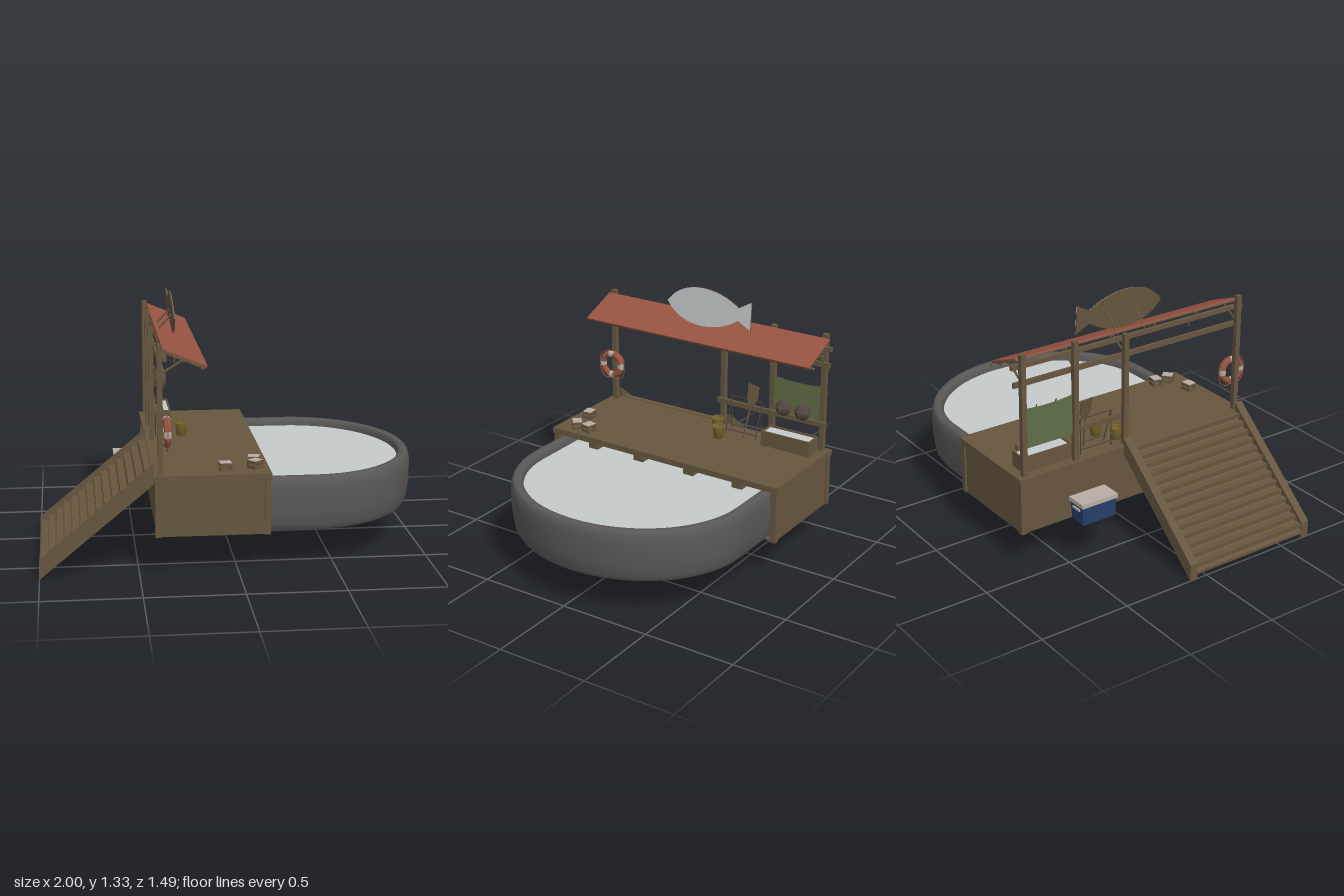
import * as THREE from 'three';

const mat = (name, color, double) => {
  const m = new THREE.MeshStandardMaterial({ color });
  m.name = name;
  if (double) m.side = THREE.DoubleSide;
  return m;
};
const V = (x, y, z) => new THREE.Vector3(x, y, z);

export function createModel() {
  const root = new THREE.Group();
  const wood = mat('brown wood', 0x66563f), red = mat('faded red', 0x985442);
  const rubber = mat('grey rubber', 0x5b5858), pale = mat('pale grey', 0xc6cacb, true);
  const blue = mat('cooler blue', 0x27406c), paper = mat('off white', 0xb9ada3);
  const green = mat('cloth green', 0x5f6f45, true), gold = mat('bucket yellow', 0x7a6a2c, true);
  const dark = mat('dark float', 0x4d4440);

  const add = (name, geo, m, parent = root, x = 0, y = 0, z = 0) => {
    const mesh = new THREE.Mesh(geo, m);
    mesh.name = name;
    mesh.position.set(x, y, z);
    parent.add(mesh);
    return mesh;
  };
  // box given by its limits on each axis
  const box = (name, m, x0, x1, y0, y1, z0, z1, parent = root) =>
    add(name, new THREE.BoxGeometry(x1 - x0, y1 - y0, z1 - z0), m, parent, (x0 + x1) / 2, (y0 + y1) / 2, (z0 + z1) / 2);
  const rod = (name, m, a, b, r, parent = root, sides = 6) => {
    const mesh = add(name, new THREE.CylinderGeometry(r, r, a.distanceTo(b), sides), m, parent);
    mesh.position.copy(a).lerp(b, 0.5);
    mesh.quaternion.setFromUnitVectors(V(0, 1, 0), b.clone().sub(a).normalize());
    return mesh;
  };
  const group = (name, x = 0, y = 0, z = 0, parent = root) => {
    const g = new THREE.Group();
    g.name = name;
    g.position.set(x, y, z);
    parent.add(g);
    return g;
  };

  // Pool: a bulging wall swept around a U-shaped outline
  const pool = group('pool', 0, 0, -0.022);
  const outline = (inset, x0) => {
    const pts = [[x0, -0.672 + inset]];
    for (let i = 0; i <= 28; i++) {
      const t = (i / 28 - 0.5) * Math.PI;
      pts.push([0.4 + (0.6 - inset) * Math.cos(t), (0.672 - inset) * Math.sin(t)]);
    }
    pts.push([x0, 0.672 - inset]);
    return pts;
  };
  const section = [[0.03, 0.2], [0.012, 0.23], [0.003, 0.3], [0, 0.37], [0, 0.43], [0.008, 0.465], [0.02, 0.48],
    [0.05, 0.48], [0.064, 0.465], [0.068, 0.43], [0.068, 0.21]];
  const pos = [], idx = [], n = outline(0, 0).length, k = section.length;
  section.forEach(([d, y]) => outline(d, -0.38).forEach(([x, z]) => pos.push(x, y, z)));
  for (let j = 0; j < k - 1; j++) for (let i = 0; i < n - 1; i++) {
    const a = j * n + i, b = a + n;
    idx.push(a, b, b + 1, a, b + 1, a + 1);
  }
  const wall = new THREE.BufferGeometry();
  wall.setAttribute('position', new THREE.Float32BufferAttribute(pos, 3));
  wall.setIndex(idx);
  wall.computeVertexNormals();
  add('poolWall', wall, rubber, pool);
  const flat = (inset) => new THREE.Shape(outline(inset, -0.39).map(([x, z]) => new THREE.Vector2(x, z)));
  add('poolFloor', new THREE.ExtrudeGeometry(flat(0.03), { depth: 0.01, bevelEnabled: false }), rubber, pool, 0, 0.2)
    .rotation.x = -Math.PI / 2;
  add('water', new THREE.ShapeGeometry(flat(0.062)), pale, pool, 0, 0.44).rotation.x = -Math.PI / 2;
  box('deckUnderside', rubber, -0.405, 0.15, 0.201, 0.211, -0.72, 0.675);

  // Deck with panelled sides
  const deck = group('deck');
  box('deckTop', wood, -0.425, 0.165, 0.485, 0.517, -0.74, 0.695, deck);
  box('backPanel', wood, -0.41, -0.4, 0.2, 0.485, -0.72, 0.675, deck);
  for (const [z0, z1, p0, p1] of [[0.665, 0.68, 0.655, 0.69], [-0.725, -0.71, -0.735, -0.7]]) {
    box('sidePanel', wood, -0.41, 0.15, 0.2, 0.485, z0, z1, deck);
    box('deckLeg', wood, -0.42, -0.39, 0.2, 0.485, p0, p1, deck);
    box('deckLeg', wood, 0.13, 0.16, 0.2, 0.485, p0, p1, deck);
  }
  for (const z of [-0.5, -0.2, 0.12, 0.42]) box('joist', wood, -0.38, 0.163, 0.455, 0.485, z - 0.03, z + 0.03, deck);

  // Ramp: two stringers, a sloping board and cross treads
  const ramp = group('ramp');
  const side = new THREE.Shape([[-1, 0], [-0.425, 0.475], [-0.425, 0.57], [-1, 0.09]].map((p) => new THREE.Vector2(...p)));
  const board = new THREE.Shape([[-1, 0.025], [-0.425, 0.5], [-0.425, 0.515], [-1, 0.04]].map((p) => new THREE.Vector2(...p)));
  const ext = (s, depth) => new THREE.ExtrudeGeometry(s, { depth, bevelEnabled: false });
  add('rampStringer', ext(side, 0.045), wood, ramp, 0, 0, 0.64);
  add('rampStringer', ext(side, 0.045), wood, ramp, 0, 0, -0.105);
  add('rampBoard', ext(board, 0.7), wood, ramp, 0, 0, -0.06);
  for (let i = 0; i < 14; i++) {
    const x = -0.975 + i * 0.0405, y = (x + 1) * 0.826 + 0.05;
    box('rampTread', wood, x - 0.017, x + 0.017, y - 0.012, y + 0.012, -0.06, 0.64, ramp);
  }
  const patch = add('rampPatch', new THREE.CircleGeometry(0.08, 16, -Math.PI / 2, Math.PI), pale, ramp, -0.86, 0.137, 0.636);
  patch.scale.x = 0.45;
  patch.rotation.set(0, Math.PI / 2, -0.69, 'ZYX');

  // Shelter frame
  const frame = group('shelterFrame');
  for (const [z, top] of [[0.66, 1.175], [-0.075, 1.135], [-0.385, 1.17], [-0.695, 1.178]]) {
    box('roofPost', wood, -0.405, -0.378, 0.515, top, z - 0.014, z + 0.014, frame);
    rod('roofBrace', wood, V(-0.378, 1.03, z), V(-0.275, 1.095, z), 0.007, frame, 4);
  }
  box('crossBeam', wood, -0.378, -0.362, 1.0, 1.027, -0.737, 0.695, frame);
  box('topBeam', wood, -0.378, -0.358, 1.095, 1.118, -0.745, 0.703, frame);
  box('midRail', wood, -0.378, -0.36, 0.66, 0.687, -0.725, -0.05, frame);
  rod('roofHook', wood, V(-0.3, 1.03, 0.405), V(-0.3, 1.09, 0.405), 0.004, frame);

  // Sloping roof
  const roof = group('roof', -0.27, 1.106, -0.02);
  roof.rotation.z = -0.388;
  box('roofCover', red, -0.119, 0.119, 0, 0.008, -0.705, 0.705, roof);
  box('roofBoard', wood, -0.118, 0.118, -0.007, 0, -0.704, 0.704, roof);
  for (const x of [0, 0.1]) box('purlin', wood, x - 0.006, x + 0.006, -0.018, -0.007, -0.724, 0.704, roof);
  for (let i = 0; i < 6; i++) box('rafter', wood, -0.115, 0.115, -0.016, -0.007, -0.69 + i * 0.274, -0.68 + i * 0.274, roof);

  // Fish-shaped sign with wooden back
  const sign = group('fishSign', -0.275, 1.12, 0);
  sign.rotation.set(0, Math.PI / 2, 0.07, 'ZYX');
  const fish = new THREE.Shape();
  fish.moveTo(-0.225, 0.105);
  fish.bezierCurveTo(-0.17, 0.18, -0.09, 0.21, 0, 0.21);
  fish.bezierCurveTo(0.08, 0.21, 0.16, 0.185, 0.225, 0.14);
  fish.lineTo(0.303, 0.185);
  fish.lineTo(0.303, 0.03);
  fish.lineTo(0.225, 0.07);
  fish.bezierCurveTo(0.16, 0.025, 0.08, 0, 0, 0);
  fish.bezierCurveTo(-0.09, 0, -0.17, 0.03, -0.225, 0.105);
  add('fishBack', ext(fish, 0.006), wood, sign, 0, 0, -0.006);
  add('fishFace', new THREE.ShapeGeometry(fish), pale, sign, 0, 0, 0.002);
  for (const z of [-0.11, 0.06]) rod('signStrut', wood, V(-0.372, 1.13, z), V(-0.285, 1.225, z), 0.005);

  // Life ring with white bands and a loose rope
  const ring = group('lifeRing', -0.358, 0.735, 0.66);
  ring.rotation.y = Math.PI / 2;
  for (let i = 0; i < 4; i++) {
    const a = i * Math.PI / 2;
    add('ringSection', new THREE.TorusGeometry(0.062, 0.018, 10, 10, 1.12), red, ring).rotation.z = a + 0.225;
    add('ringBand', new THREE.TorusGeometry(0.062, 0.0195, 10, 5, 0.45), paper, ring).rotation.z = a - 0.225;
    const pts = [0, 0.25, 0.5, 0.75, 1].map((t) => {
      const r = 0.081 + 0.012 * Math.sin(Math.PI * t), w = a + t * Math.PI / 2;
      return V(r * Math.cos(w), r * Math.sin(w) - 0.006 * Math.sin(Math.PI * t), 0);
    });
    add('ringRope', new THREE.TubeGeometry(new THREE.CatmullRomCurve3(pts), 10, 0.003, 5), red, ring);
  }

  // Green cloth with a sagging top edge
  const cloth = new THREE.Shape();
  cloth.moveTo(0.39, 0.66);
  cloth.lineTo(0.69, 0.66);
  cloth.lineTo(0.69, 0.882);
  cloth.quadraticCurveTo(0.54, 0.862, 0.39, 0.885);
  add('hangingCloth', new THREE.ShapeGeometry(cloth), green, root, -0.385).rotation.y = Math.PI / 2;

  // Round floats hung on ropes
  for (const z of [-0.488, -0.604]) {
    const f = group('hangingFloat', -0.33, 0.735, z);
    add('floatBall', new THREE.SphereGeometry(0.043, 16, 12), dark, f);
    for (const [rx, ry] of [[0, 0], [0, Math.PI / 2], [Math.PI / 2, 0.3]])
      add('floatNet', new THREE.TorusGeometry(0.0435, 0.0025, 5, 20), wood, f).rotation.set(rx, ry, 0);
    rod('floatRope', wood, V(0, 0.042, 0), V(-0.045, 0.145, 0), 0.0035, f);
  }

  // Ice box
  const ice = group('iceBox');
  box('iceBoxBase', wood, -0.365, -0.265, 0.517, 0.53, -0.685, -0.39, ice);
  for (const x of [-0.365, -0.273]) box('iceBoxSide', wood, x, x + 0.008, 0.517, 0.602, -0.685, -0.39, ice);
  for (const z of [-0.685, -0.398]) box('iceBoxEnd', wood, -0.365, -0.265, 0.517, 0.602, z, z + 0.008, ice);
  box('ice', pale, -0.357, -0.273, 0.53, 0.592, -0.677, -0.398, ice);

  // Buckets
  for (const [x, z] of [[-0.32, -0.08], [-0.225, -0.145]]) {
    const b = group('bucket', x, 0.517, z);
    const prof = [[0, 0.002], [0.026, 0.002], [0.033, 0.066], [0.036, 0.066], [0.036, 0.073], [0.031, 0.073]];
    add('bucketShell', new THREE.LatheGeometry(prof.map((p) => new THREE.Vector2(...p)), 16), gold, b);
    const h = add('bucketHandle', new THREE.TorusGeometry(0.035, 0.002, 5, 14, Math.PI), gold, b, 0, 0.068, 0);
    h.rotation.set(Math.PI * 0.62, 0, 0);
  }

  // Wire rack and shovel
  const rack = group('wireRack');
  for (const x of [-0.365, -0.3]) {
    for (const z of [-0.145, -0.335]) rod('rackLeg', dark, V(x, 0.517, z), V(-0.365, 0.72, z), 0.003, rack);
    rod('rackBar', dark, V(x, 0.545, -0.145), V(x, 0.545, -0.335), 0.003, rack);
  }
  rod('rackTop', dark, V(-0.365, 0.72, -0.145), V(-0.365, 0.72, -0.335), 0.003, rack);
  rod('shovelHandle', wood, V(-0.29, 0.518, -0.265), V(-0.34, 0.73, -0.285), 0.005);
  const blade = new THREE.Shape([[-0.018, 0], [0.015, 0], [0.033, 0.035], [0.034, 0.11], [-0.034, 0.12], [-0.03, 0.03]]
    .map((p) => new THREE.Vector2(...p)));
  add('shovelBlade', ext(blade, 0.006), wood, root, -0.335, 0.7, -0.288).rotation.set(0, Math.PI / 2, 0.2, 'ZYX');

  // Small slatted boxes with pale contents
  for (const [x, z, a] of [[-0.062, 0.61, 0.1], [0.095, 0.497, -0.2], [0.092, 0.58, 0.7]]) {
    const c = group('smallCrate', x, 0.517, z);
    c.rotation.y = a;
    box('crateBase', wood, -0.028, 0.028, 0, 0.006, -0.025, 0.025, c);
    for (const s of [-1, 1]) {
      for (const y of [0.004, 0.028]) {
        box('crateSlat', wood, -0.03, 0.03, y, y + 0.014, s * 0.025 - 0.002, s * 0.025 + 0.002, c);
        box('crateSlat', wood, s * 0.029 - 0.002, s * 0.029 + 0.002, y, y + 0.014, -0.025, 0.025, c);
      }
      for (const t of [-1, 1]) box('crateCorner', wood, s * 0.027 - 0.004, s * 0.027 + 0.004, 0, 0.042, t * 0.023 - 0.004, t * 0.023 + 0.004, c);
    }
    box('crateContents', paper, -0.029, 0.029, 0.03, 0.045, -0.025, 0.025, c);
  }

  // Cooler with tapered body
  const cooler = group('cooler', -0.53, 0, -0.37);
  const body = new THREE.BoxGeometry(0.11, 0.105, 0.21), p = body.attributes.position;
  for (let i = 0; i < p.count; i++) if (p.getY(i) < 0) p.setXYZ(i, p.getX(i) * 0.9, p.getY(i), p.getZ(i) * 0.93);
  body.computeVertexNormals();
  add('coolerBody', body, blue, cooler, 0, 0.295, 0);
  box('coolerLid', paper, -0.06, 0.06, 0.345, 0.368, -0.11, 0.11, cooler);
  for (const s of [-1, 1]) box('coolerHandle', paper, -0.03, 0.03, 0.318, 0.33, s * 0.106 - 0.005, s * 0.106 + 0.005, cooler);

  return root;
}
